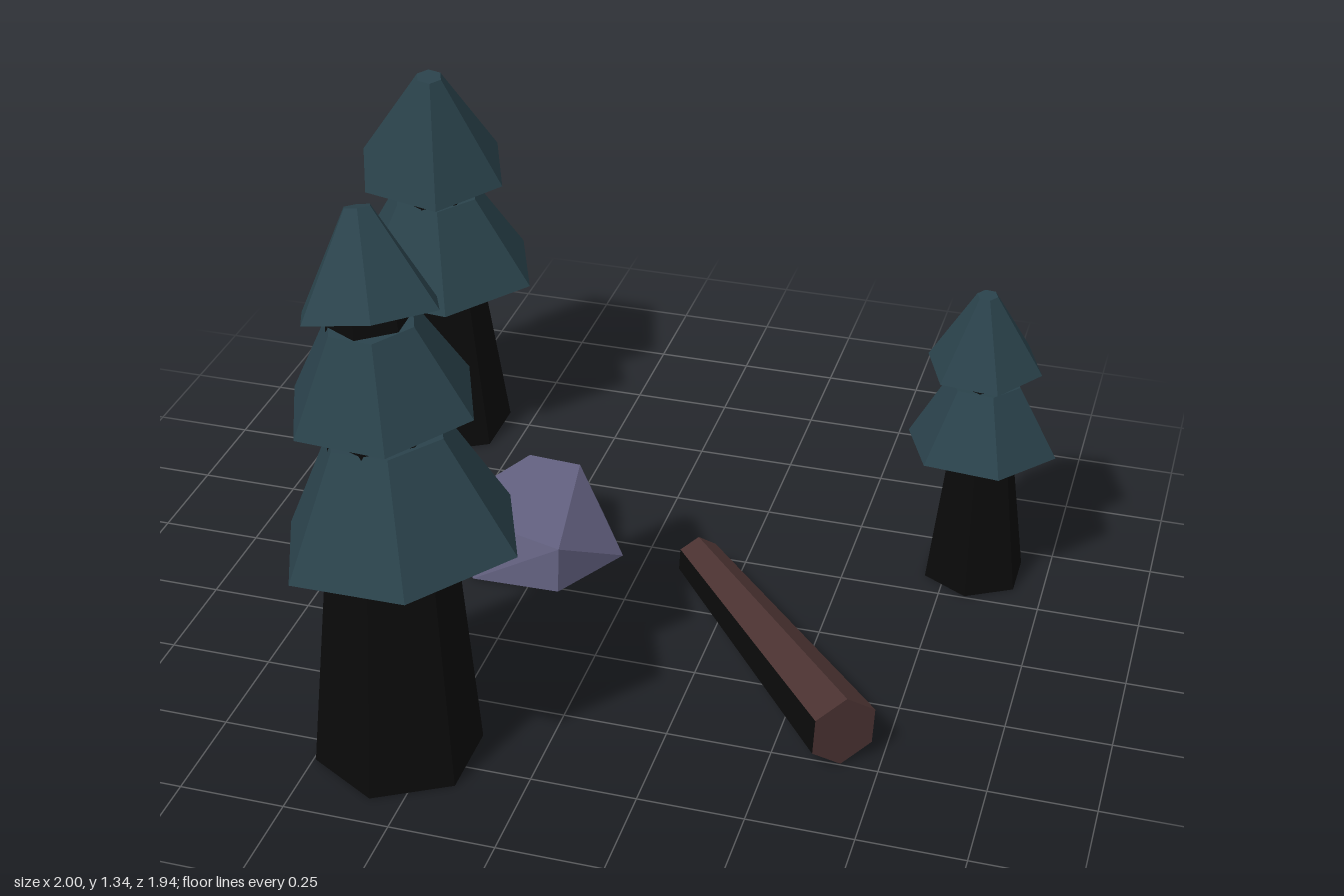
import * as THREE from 'three';
import { ConvexGeometry } from 'three/addons/geometries/ConvexGeometry.js';

const material = (name, color) => {
  const m = new THREE.MeshStandardMaterial({ color, flatShading: true });
  m.name = name;
  return m;
};

const V = (x, y, z) => new THREE.Vector3(x, y, z);

// Give every triangle material 0 or 1 from its face normal
function paintByNormal(source, isSecond) {
  const geo = source.index ? source.toNonIndexed() : source;
  const p = geo.attributes.position;
  const tri = new THREE.Triangle();
  const n = V(0, 0, 0);
  geo.clearGroups();
  for (let i = 0; i < p.count; i += 3) {
    tri.setFromAttributeAndIndices(p, i, i + 1, i + 2).getNormal(n);
    geo.addGroup(i, 3, isSecond(n) ? 1 : 0);
  }
  geo.computeVertexNormals();
  return geo;
}

export function createModel() {
  const model = new THREE.Group();
  model.name = 'forestClearing';
  const needles = material('needleGreen', 0x2a424b);
  const bark = material('darkBark', 0x0a0a0a);
  const wood = material('logBrown', 0x4a3231);
  const stone = material('stonePurple', 0x62607f);

  const add = (parent, name, geo, mat) => {
    const mesh = new THREE.Mesh(geo, mat);
    mesh.name = name;
    parent.add(mesh);
    return mesh;
  };

  // Six-sided trunk section sheared from a lower to an upper centre
  function trunkSection(parent, name, from, r0, to, r1) {
    const h = to.y - from.y;
    const geo = new THREE.CylinderGeometry(r1, r0, h, 6).translate(0, h / 2, 0);
    geo.applyMatrix4(new THREE.Matrix4().set(
      1, (to.x - from.x) / h, 0, from.x,
      0, 1, 0, from.y,
      0, (to.z - from.z) / h, 1, from.z,
      0, 0, 0, 1));
    add(parent, name, geo, bark);
  }

  // Tier: [x, y, z of base, base radius, top radius, height, tilt x, tilt z]
  const trees = [
    {
      name: 'tallTree',
      base: V(-0.325, 0, 0.725), r0: 0.195,
      mid: V(-0.33, 0.6, 0.705), r1: 0.14,
      top: V(-0.36, 1.17, 0.69), r2: 0.09,
      tiers: [
        [-0.305, 0.56, 0.70, 0.287, 0.14, 0.27, -0.03, 0.10],
        [-0.34, 0.893, 0.685, 0.222, 0.105, 0.21, 0.06, 0.06],
        [-0.355, 1.12, 0.695, 0.168, 0.032, 0.225, -0.26, 0.18],
      ],
    },
    {
      name: 'middleTree',
      base: V(-0.727, 0, -0.71), r0: 0.18,
      mid: V(-0.735, 0.5, -0.71), r1: 0.11,
      top: V(-0.745, 0.82, -0.71), r2: 0.085,
      tiers: [
        [-0.735, 0.463, -0.73, 0.268, 0.12, 0.235, 0.03, 0.03],
        [-0.745, 0.775, -0.715, 0.208, 0.035, 0.283, 0.15, -0.06],
      ],
    },
    {
      name: 'smallTree',
      base: V(0.815, 0, -0.385), r0: 0.13,
      mid: V(0.81, 0.4, -0.39), r1: 0.077,
      top: V(0.803, 0.62, -0.4), r2: 0.065,
      tiers: [
        [0.81, 0.365, -0.395, 0.19, 0.09, 0.175, -0.04, 0.02],
        [0.803, 0.588, -0.4, 0.145, 0.026, 0.198, 0.07, 0.02],
      ],
    },
  ];

  for (const t of trees) {
    const tree = new THREE.Group();
    tree.name = t.name;
    model.add(tree);
    trunkSection(tree, 'trunk', t.base, t.r0, t.mid, t.r1);
    trunkSection(tree, 'upperTrunk', t.mid, t.r1 * 0.97, t.top, t.r2);
    t.tiers.forEach(([x, y, z, r, rTop, h, tiltX, tiltZ], i) => {
      const geo = new THREE.CylinderGeometry(rTop, r, h, 6)
        .translate(0, h / 2, 0)
        .rotateY(THREE.MathUtils.degToRad(22));
      // Sides and top are green, the underside is dark
      const tier = add(tree, `branchTier${i + 1}`, geo, [needles, needles, bark]);
      tier.position.set(x, y, z);
      tier.rotation.set(tiltX, 0, tiltZ);
    });
  }

  // Fallen log, tapering towards the back
  const near = V(0.665, 0.087, 0.49);
  const far = V(0.148, 0.062, -0.15);
  const along = far.clone().sub(near);
  const length = along.length();
  along.normalize();
  const up = V(0, 1, 0).addScaledVector(along, -along.y).normalize();
  const side = along.clone().cross(up);
  const logGeo = new THREE.CylinderGeometry(0.056, 0.088, length, 6)
    .rotateY(THREE.MathUtils.degToRad(4))
    .applyMatrix4(new THREE.Matrix4().makeBasis(side, along, up)
      .setPosition(near.clone().lerp(far, 0.5)));
  // Upper faces and the cut front end show wood
  add(model, 'fallenLog',
    paintByNormal(logGeo, (n) => n.y > 0.25 || n.dot(along) < -0.9), [bark, wood]);

  // Faceted rock with a dark underside
  const rockGeo = new ConvexGeometry([
    V(-0.40, 0, -0.37), V(-0.17, 0, -0.375), V(-0.06, 0, -0.19),
    V(-0.17, 0, 0.015), V(-0.395, 0, 0.02), V(-0.51, 0, -0.17),
    V(-0.35, 0.18, -0.315), V(-0.21, 0.18, -0.305), V(-0.17, 0.12, 0.005),
    V(-0.36, 0.14, -0.025), V(-0.44, 0.16, -0.16),
  ]);
  add(model, 'rock', paintByNormal(rockGeo, (n) => n.y < -0.5), [stone, bark]);

  return model;
}
